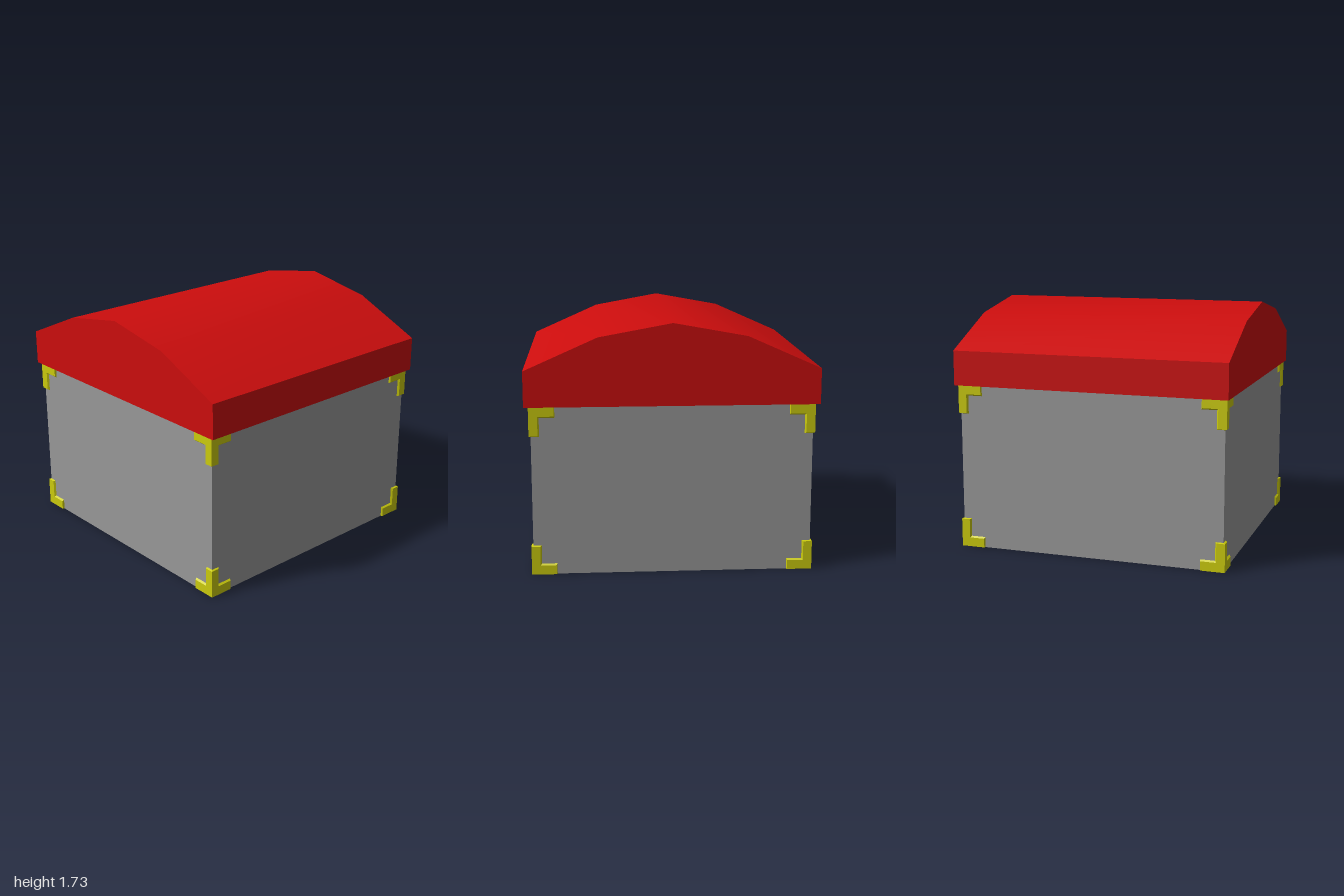
import * as THREE from 'three';
import { toCreasedNormals } from 'three/addons/utils/BufferGeometryUtils.js';

const HALF = 0.957;      // half width of the chest body
const HEIGHT = 1.175;    // height of the chest body
const PROUD = 0.97;      // outer face of the corner brackets

// L outline against the body and the slightly smaller L on its raised face
const BASE = [[HALF, 0], [HALF, 0.205], [0.9, 0.205], [0.9, 0.075], [0.795, 0.075], [0.795, 0]];
const FACE = [[PROUD, 0], [PROUD, 0.2], [0.91, 0.2], [0.91, 0.065], [0.8, 0.065], [0.8, 0]];

// One bevelled L plate, mirrored left/right and bottom/top
function bracketGeometry(sx, top) {
  const place = (ring, z) => ring.map(([x, v]) => [sx * x, top ? HEIGHT - v : v, z]);
  const base = place(BASE, HALF);
  const face = place(FACE, PROUD);
  const flip = (sx < 0) !== top;
  const positions = [];
  const tri = (a, b, c) => positions.push(...a, ...(flip ? c : b), ...(flip ? b : c));
  for (let i = 0; i < 6; i++) {
    const j = (i + 1) % 6;
    tri(base[i], base[j], face[j]);
    tri(base[i], face[j], face[i]);
  }
  // fan from the inner elbow
  for (let i = 4; i < 8; i++) tri(face[3], face[i % 6], face[(i + 1) % 6]);
  const geometry = new THREE.BufferGeometry();
  geometry.setAttribute('position', new THREE.Float32BufferAttribute(positions, 3));
  geometry.computeVertexNormals();
  return geometry;
}

export function createModel() {
  const red = new THREE.MeshStandardMaterial({ name: 'red', color: 0xcc0d0d });
  const grey = new THREE.MeshStandardMaterial({ name: 'grey', color: 0x999999 });
  const yellow = new THREE.MeshStandardMaterial({ name: 'yellow', color: 0xcccc0d });

  const model = new THREE.Group();
  model.name = 'chest';
  const add = (name, geometry, material, parent = model) => {
    const mesh = new THREE.Mesh(geometry, material);
    mesh.name = name;
    parent.add(mesh);
    return mesh;
  };

  // Body
  add('body', new THREE.BoxGeometry(2 * HALF, HEIGHT, 2 * HALF), grey).position.y = HEIGHT / 2;

  // Arched lid, smooth over the top and sharp at its rims
  const profile = [[-1, HEIGHT], [1, HEIGHT], [1, 1.42], [0.5, 1.642], [0, 1.733], [-0.5, 1.642], [-1, 1.42]];
  const lidShape = new THREE.Shape(profile.map(([x, y]) => new THREE.Vector2(x, y)));
  const lid = new THREE.ExtrudeGeometry(lidShape, { depth: 1.97, bevelEnabled: false });
  lid.translate(0, 0, -0.985);
  add('lid', toCreasedNormals(lid, 0.6), red);

  // Brackets: four L plates on each of the four walls
  ['front', 'left', 'back', 'right'].forEach((side, i) => {
    const wall = new THREE.Group();
    wall.name = side + 'Brackets';
    wall.rotation.y = i * Math.PI / 2;
    for (const sx of [-1, 1]) {
      for (const top of [false, true]) {
        add(top ? 'upperBracket' : 'lowerBracket', bracketGeometry(sx, top), yellow, wall);
      }
    }
    model.add(wall);
  });

  return model;
}
